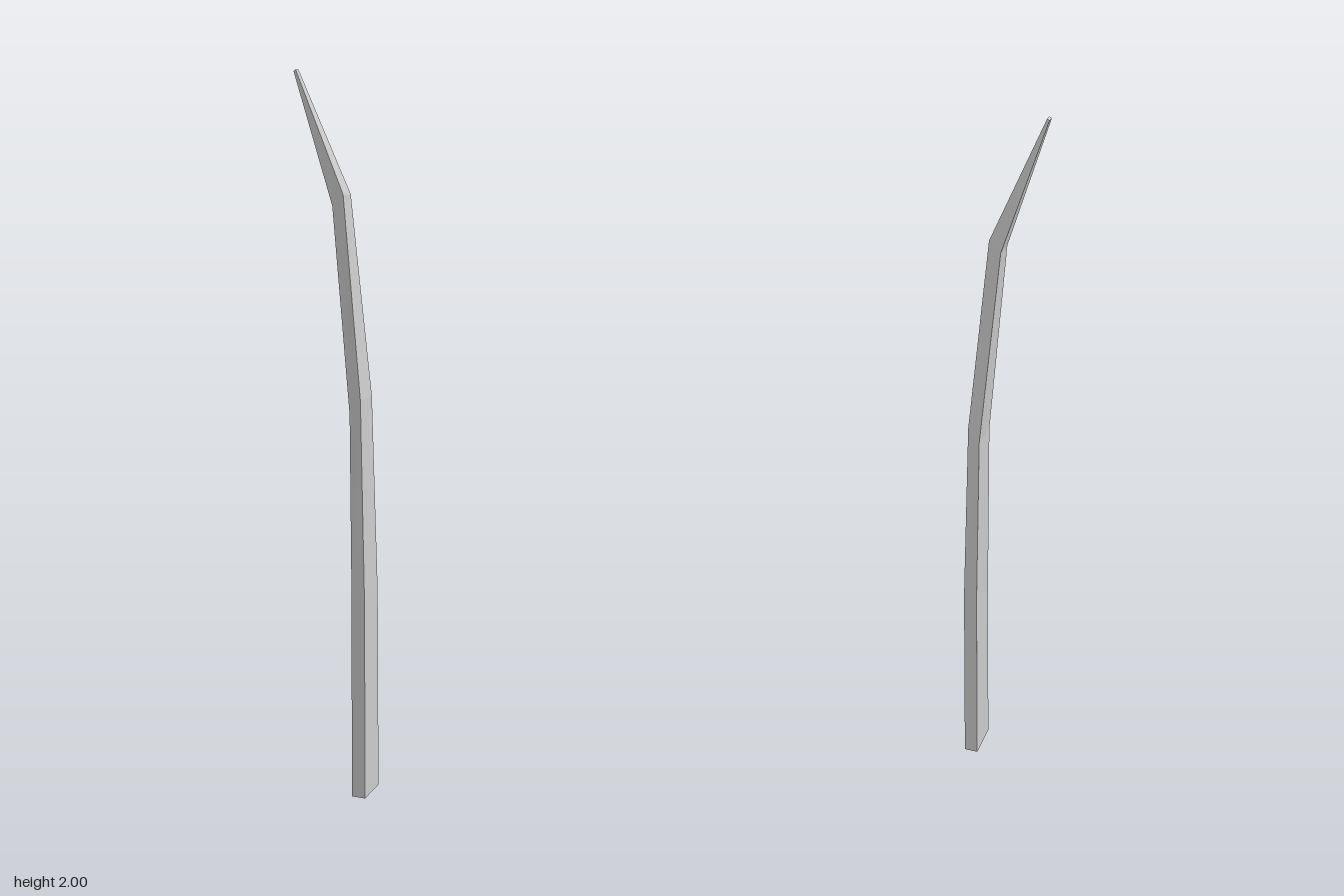
import * as THREE from 'three';

// Cross-sections from foot to tip: inner edge [x, y], outer edge [x, y], half depth in z
const SECTIONS = [
  { inner: [0.073, 0], outer: [0.113, 0], half: 0.053 },
  { inner: [0.07, 0.57], outer: [0.108, 0.58], half: 0.051 },
  { inner: [0.06, 1.09], outer: [0.091, 1.13], half: 0.043 },
  { inner: [0.003, 1.645], outer: [0.034, 1.675], half: 0.027 },
  { inner: [-0.115, 1.996], outer: [-0.109, 2], half: 0.01 },
];

// Joins four-cornered rings into a closed, tapering bar
function loftBar(sections) {
  const positions = [];
  const index = [];
  const quad = (a, b, c, d) => index.push(a, b, c, a, c, d);
  for (const { inner, outer, half } of sections) {
    positions.push(...inner, -half, ...inner, half, ...outer, half, ...outer, -half);
  }
  for (let s = 0; s < sections.length - 1; s++) {
    for (let i = 0; i < 4; i++) {
      const j = (i + 1) % 4;
      quad(s * 4 + i, s * 4 + j, s * 4 + 4 + j, s * 4 + 4 + i);
    }
  }
  const top = (sections.length - 1) * 4;
  quad(3, 2, 1, 0);
  quad(top, top + 1, top + 2, top + 3);

  const indexed = new THREE.BufferGeometry();
  indexed.setAttribute('position', new THREE.Float32BufferAttribute(positions, 3));
  indexed.setIndex(index);
  const geometry = indexed.toNonIndexed();
  geometry.computeVertexNormals();
  return geometry;
}

export function createModel() {
  const group = new THREE.Group();
  group.name = 'curvedPost';

  // Tapering bar that bends towards its tip
  const material = new THREE.MeshStandardMaterial({ color: 0xcccccc, flatShading: true });
  const bar = new THREE.Mesh(loftBar(SECTIONS), material);
  bar.name = 'bentBar';
  group.add(bar);
  return group;
}
